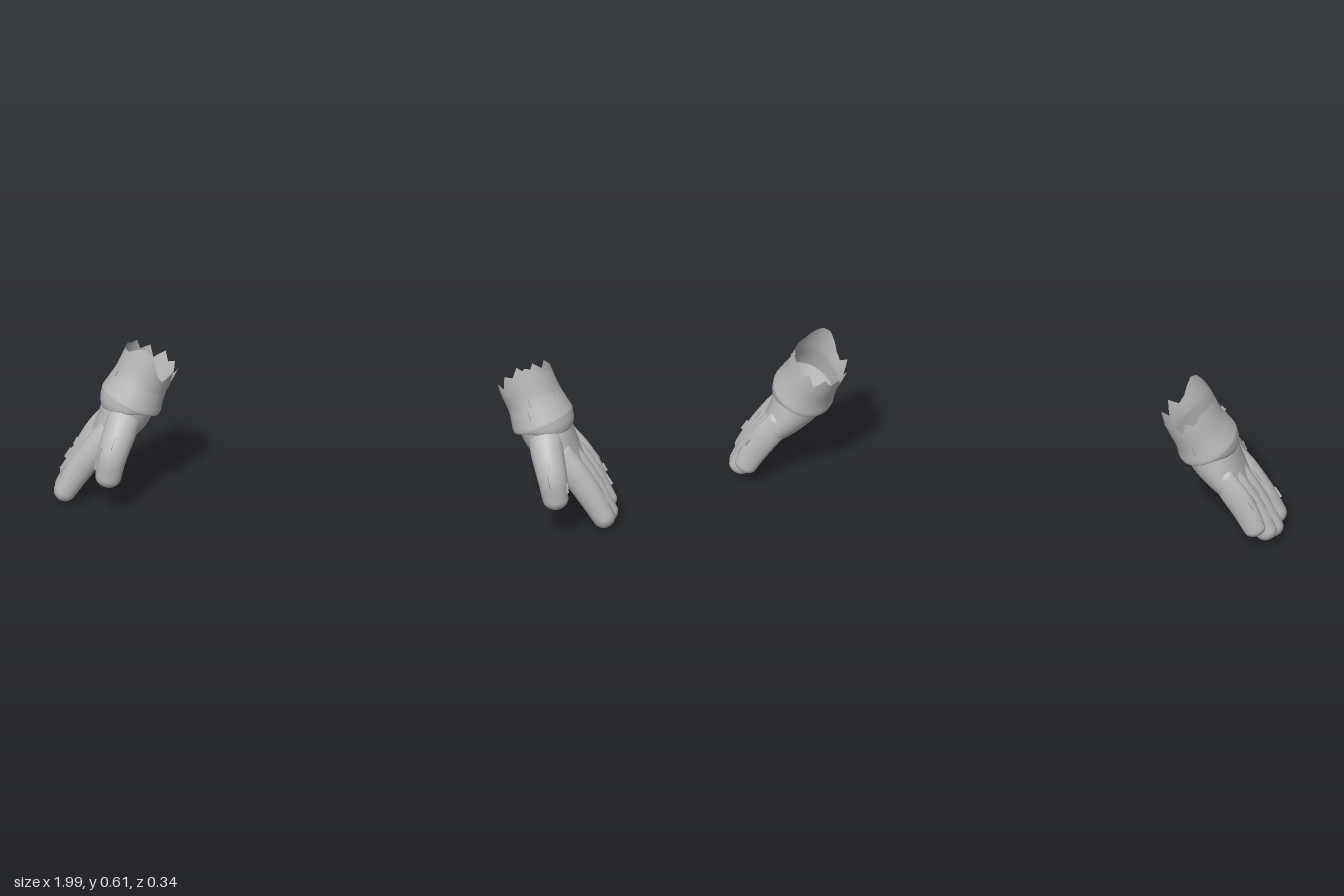
import * as THREE from 'three';

const grey = new THREE.MeshStandardMaterial({ color: 0xb8b8b8, side: THREE.DoubleSide });
grey.name = 'grey cloth';

// Section along a path: [x, y, z, half thickness, half width]
function makeLoft(sections, capped) {
  const path = new THREE.CatmullRomCurve3(sections.map(s => new THREE.Vector3(s[0], s[1], s[2])));
  const size = new THREE.CatmullRomCurve3(sections.map(s => new THREE.Vector3(s[3], s[4], 0)));
  // Ring frame at u; extra > 0 runs round the end cap
  return (u, angle, extra = 0, shift = 0, grow = 0) => {
    const p = path.getPoint(u), r = size.getPoint(u), t = path.getTangent(u);
    const z = new THREE.Vector3(0, 0, 1);
    z.addScaledVector(t, -z.dot(t)).normalize();
    const n = new THREE.Vector3().crossVectors(z, t);
    const k = Math.cos(extra * Math.PI / 2);
    p.addScaledVector(t, shift + (capped ? Math.sin(extra * Math.PI / 2) * Math.min(r.x, r.y) : 0));
    p.addScaledVector(n, (r.x + grow) * k * Math.cos(angle));
    return p.addScaledVector(z, (r.y + grow) * k * Math.sin(angle));
  };
}

// Smooth tube over the sections, mirrored for side = -1
function tube(name, sections, side, { sides = 24, steps = 18, cap = true, rim = null } = {}) {
  const at = makeLoft(sections, cap), pos = [], index = [], rows = [];
  if (cap) rows.push([0, 1, true]);
  for (let i = 0; i <= steps; i++) rows.push([i / steps, 0]);
  if (cap) for (let i = 1; i <= 6; i++) rows.push([1, i / 6]);
  rows.forEach(([u, extra, start]) => {
    for (let j = 0; j < sides; j++) {
      const angle = j / sides * Math.PI * 2;
      const shift = rim ? -rim(j / sides) * Math.max(0, 1 - u * 3) : 0;
      const p = at(u, angle, extra, start ? -0.04 : shift);
      pos.push(p.x * side, p.y, p.z);
    }
  });
  for (let i = 0; i < rows.length - 1; i++) for (let j = 0; j < sides; j++) {
    const a = i * sides + j, b = i * sides + (j + 1) % sides, c = a + sides, d = b + sides;
    if (side > 0) index.push(a, b, d, a, d, c);
    else index.push(a, d, b, a, c, d);
  }
  const g = new THREE.BufferGeometry();
  g.setAttribute('position', new THREE.Float32BufferAttribute(pos, 3));
  g.setIndex(index);
  g.computeVertexNormals();
  const mesh = new THREE.Mesh(g, grey);
  mesh.name = name;
  return mesh;
}

// Thin loose flap standing on a loft's surface
function flap(sections, side, u, degrees, length) {
  const at = makeLoft(sections, false), a = degrees * Math.PI / 180, pos = [];
  for (const [du, grow] of [[0, -0.003], [length, -0.003], [length, 0.009], [0, 0.006]]) {
    const p = at(Math.min(1, u + du), a, 0, 0, grow);
    pos.push(p.x * side, p.y, p.z);
  }
  const g = new THREE.BufferGeometry();
  g.setAttribute('position', new THREE.Float32BufferAttribute(pos, 3));
  g.setIndex([0, 1, 2, 0, 2, 3]);
  g.computeVertexNormals();
  const mesh = new THREE.Mesh(g, grey);
  mesh.name = 'looseFlap';
  return mesh;
}

const cuff = [
  [0.66, 0.54, -0.057, 0.1, 0.108], [0.69, 0.475, -0.05, 0.099, 0.109],
  [0.714, 0.425, -0.04, 0.106, 0.116], [0.727, 0.395, -0.035, 0.112, 0.121],
  [0.732, 0.383, -0.033, 0.107, 0.117], [0.732, 0.38, -0.033, 0.088, 0.1],
];
const palm = [
  [0.715, 0.415, -0.032, 0.09, 0.108], [0.75, 0.345, -0.03, 0.088, 0.114],
  [0.792, 0.28, -0.03, 0.07, 0.116], [0.835, 0.225, -0.03, 0.05, 0.11],
];
const thumb = [
  [0.74, 0.37, 0.02, 0.06, 0.055], [0.755, 0.315, 0.075, 0.058, 0.056],
  [0.778, 0.24, 0.12, 0.053, 0.05], [0.79, 0.165, 0.129, 0.046, 0.041],
];
// Finger: base z, tip x, tip y, tip z, radius
const fingers = [
  ['indexFinger', 0.045, 0.952, 0.062, 0.049, 0.041],
  ['middleFinger', -0.018, 0.956, 0.049, -0.02, 0.038],
  ['ringFinger', -0.073, 0.946, 0.068, -0.077, 0.035],
  ['littleFinger', -0.116, 0.915, 0.105, -0.125, 0.03],
].map(([name, z, x, y, tz, r]) => [name, [
  [0.79, 0.305, z, 0.045, r * 0.8], [0.845, 0.23, z * 0.7 + tz * 0.3, 0.05, r],
  [(0.845 + x) / 2 + 0.004, (0.23 + y) / 2, (z + tz) / 2, 0.047, r], [x, y, tz, 0.04, r * 0.95],
]]);

// Ragged rim heights, from the outer side round by the front
const ragged = [0, 0.005, 0.012, 0.04, 0.058, 0.05, 0.02, -0.015, -0.03, 0.012,
  -0.035, 0.012, -0.025, 0.01, -0.012, 0.015, -0.03, 0.008, -0.018, 0.012, 0.002, 0.008];
const rim = f => {
  const k = f * ragged.length, i = Math.floor(k);
  return THREE.MathUtils.lerp(ragged[i % ragged.length], ragged[(i + 1) % ragged.length], k - i);
};

function glove(side) {
  const g = new THREE.Group();
  g.name = side > 0 ? 'leftGlove' : 'rightGlove';
  g.add(tube('cuff', cuff, side, { sides: 44, steps: 24, cap: false, rim }));
  g.add(tube('palm', palm, side, { sides: 32 }));
  g.add(tube('thumb', thumb, side));
  fingers.forEach(([name, s]) => g.add(tube(name, s, side)));
  // Loose flaps on the thumb, fingers and cuff
  [[0.45, 80], [0.62, 95], [0.75, 20], [0.6, 40]].forEach(([u, a]) => g.add(flap(thumb, side, u, a, 0.15)));
  fingers.forEach(([, s], i) => {
    g.add(flap(s, side, 0.35 + i * 0.04, -40, 0.15));
    g.add(flap(s, side, 0.7, 15 - i * 12, 0.15));
  });
  [[0.15, 85], [0.3, 95], [0.2, 30], [0.25, 265]].forEach(([u, a]) => g.add(flap(cuff, side, u, a, 0.1)));
  return g;
}

export function createModel() {
  const model = new THREE.Group();
  model.name = 'gloves';
  model.add(glove(1), glove(-1));
  return model;
}
